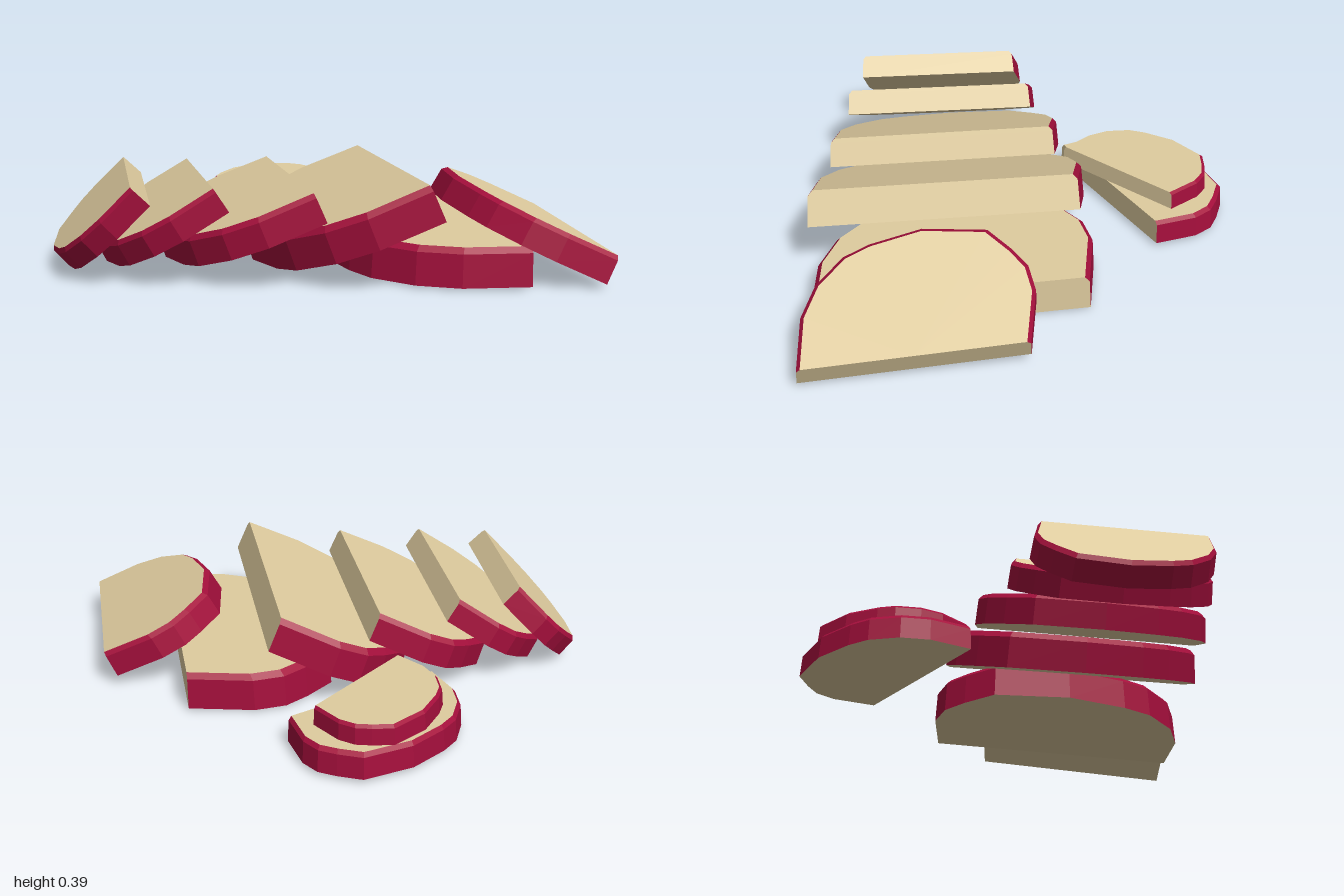
import * as THREE from 'three';

const flesh = new THREE.MeshStandardMaterial({ color: 0xdfcc9f, flatShading: true });
const skin = new THREE.MeshStandardMaterial({ color: 0xa50f3c, flatShading: true });

// Half-round outline: [depth from the cut, position along the cut], back to front
const outline = [
  [0, 0], [0.4, -0.06], [0.6, -0.045], [0.75, 0.015], [0.93, 0.11], [1, 0.4],
  [0.92, 0.64], [0.84, 0.76], [0.64, 0.89], [0.4, 0.965], [0, 1],
];

// Heights and scales of the rings: tapered wall, then a small bevel
const rings = [[0, 1], [0.85, 0.985], [1, 0.95]];

function meshFrom(triangles, material, name) {
  const geometry = new THREE.BufferGeometry().setFromPoints(triangles);
  geometry.computeVertexNormals();
  const mesh = new THREE.Mesh(geometry, material);
  mesh.name = name;
  return mesh;
}

// One slice, its origin at the middle of the bottom edge of the cut
function makeSlice(length, depth, thickness) {
  const loops = rings.map(([h, s]) => outline.map(([u, v]) =>
    new THREE.Vector3(-u * depth * s, h * thickness, (v - 0.5) * length * s)));
  const n = outline.length;
  const skinTris = [], fleshTris = [];

  // Skin wall, closed by the flat cut
  for (let r = 0; r < loops.length - 1; r++) {
    const a = loops[r], b = loops[r + 1];
    for (let i = 0; i < n; i++) {
      const j = (i + 1) % n;
      const target = j === 0 ? fleshTris : skinTris;
      target.push(a[i], a[j], b[j], a[i], b[j], b[i]);
    }
  }

  // Bottom and top faces, fanned from the middle of the cut
  const bottom = loops[0], top = loops[loops.length - 1];
  const low = new THREE.Vector3(0, 0, 0), high = new THREE.Vector3(0, thickness, 0);
  for (let i = 0; i < n - 1; i++) {
    fleshTris.push(low, bottom[i + 1], bottom[i]);
    fleshTris.push(high, top[i], top[i + 1]);
  }

  const group = new THREE.Group();
  group.add(meshFrom(skinTris, skin, 'skin'), meshFrom(fleshTris, flesh, 'flesh'));
  return group;
}

// Size, place, tilt about z and turn within the slice plane
const slices = [
  { name: 'smallestRowSlice', size: [0.66, 0.42, 0.095], at: [-0.655, 0.31, 0.28], tilt: 0.8, turn: 0.01 },
  { name: 'smallRowSlice', size: [0.77, 0.475, 0.1], at: [-0.4, 0.28, 0.285], tilt: 0.565, turn: 0.06 },
  { name: 'middleRowSlice', size: [0.91, 0.55, 0.115], at: [-0.07, 0.245, 0.285], tilt: 0.4, turn: 0.065 },
  { name: 'largeRowSlice', size: [1.04, 0.625, 0.14], at: [0.335, 0.25, 0.295], tilt: 0.4, turn: 0.065 },
  { name: 'flatRowSlice', size: [1.04, 0.63, 0.145], at: [0.655, 0.012, 0.29], tilt: 0, turn: 0.067 },
  { name: 'leaningSlice', size: [0.83, 0.51, 0.11], at: [0.925, 0.033, 0.435], tilt: -0.435, turn: 0.07 },
  { name: 'lowerStackedSlice', size: [0.685, 0.415, 0.1], at: [-0.045, 0.02, -0.385], tilt: 0, turn: -1.1 },
  { name: 'upperStackedSlice', size: [0.545, 0.345, 0.075], at: [-0.02, 0.12, -0.415], tilt: 0, turn: -0.774 },
];

export function createModel() {
  const model = new THREE.Group();
  model.name = 'slicedVegetable';
  for (const { name, size, at, tilt, turn } of slices) {
    const slice = makeSlice(...size);
    slice.name = name;
    slice.position.set(...at);
    slice.rotation.set(0, turn, tilt, 'ZYX');
    model.add(slice);
  }
  return model;
}
